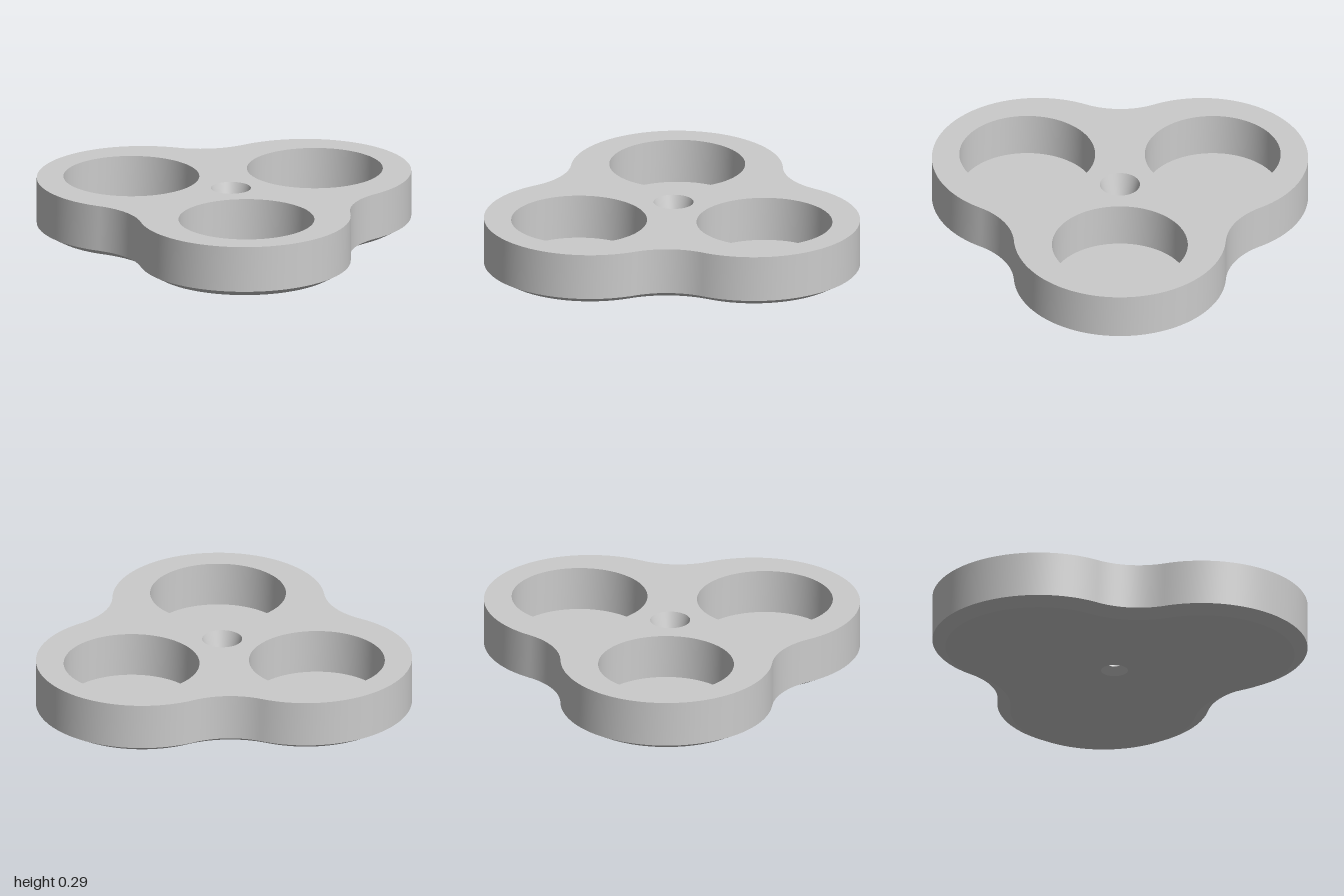
import * as THREE from 'three';

const TOP = 0.29, CHAMFER_Y = 0.04, CHAMFER_IN = 0.07, FLOOR = 0.05;
const CX = 0.04, CZ = -0.09;                    // centre of the three-lobed plate
const LOBE_DIST = 0.506, LOBE_R = 0.567;
const FILLET_DIST = 1.115, FILLET_R = 0.4;
const POCKET_DIST = 0.572, POCKET_R = 0.363;
const LOBE_ANGLES = [80, 200, 320].map(THREE.MathUtils.degToRad);

const polar = (r, a, x = CX, z = CZ) => new THREE.Vector2(x + r * Math.cos(a), z + r * Math.sin(a));

function circle(c, r, n = 96) {
  return Array.from({ length: n }, (_, i) => polar(r, (i / n) * Math.PI * 2, c.x, c.y));
}

// Three round lobes joined by tangent concave fillets, optionally inset
function outline(inset) {
  const beta = Math.atan2(FILLET_DIST * Math.sin(Math.PI / 3), FILLET_DIST * 0.5 - LOBE_DIST);
  const gamma = beta - Math.PI / 3;
  const pts = [];
  const arc = (c, r, from, to, n) => {
    for (let i = 0; i < n; i++) pts.push(polar(r, from + (to - from) * i / n, c.x, c.y));
  };
  for (const a of LOBE_ANGLES) {
    arc(polar(LOBE_DIST, a), LOBE_R - inset, a - beta, a + beta, 64);
    const mid = a + Math.PI / 3 + Math.PI;
    arc(polar(FILLET_DIST, a + Math.PI / 3), FILLET_R + inset, mid + gamma, mid - gamma, 24);
  }
  return pts;
}

// Smooth closed strip between two rings; faces outward when the first ring is the lower one
function band(ringA, yA, ringB, yB) {
  const n = ringA.length, pos = [], idx = [];
  ringA.forEach(p => pos.push(p.x, yA, p.y));
  ringB.forEach(p => pos.push(p.x, yB, p.y));
  for (let i = 0; i < n; i++) {
    const j = (i + 1) % n;
    idx.push(i, n + i, j, j, n + i, n + j);
  }
  const g = new THREE.BufferGeometry();
  g.setAttribute('position', new THREE.Float32BufferAttribute(pos, 3));
  g.setIndex(idx);
  g.computeVertexNormals();
  return g;
}

// Flat face with holes at height y, facing up or down
function cap(ring, holes, y, up) {
  const s = up ? -1 : 1;
  const flip = r => r.map(p => new THREE.Vector2(p.x, s * p.y));
  const shape = new THREE.Shape(flip(ring));
  holes.forEach(h => shape.holes.push(new THREE.Path(flip(h))));
  return new THREE.ShapeGeometry(shape).rotateX(s * Math.PI / 2).translate(0, y, 0);
}

export function createModel() {
  const model = new THREE.Group();
  model.name = 'threeLobedTray';
  const material = new THREE.MeshStandardMaterial({ color: 0xcccccc });
  const add = (name, geometry) => {
    const mesh = new THREE.Mesh(geometry, material);
    mesh.name = name;
    model.add(mesh);
  };

  const outer = outline(0), base = outline(CHAMFER_IN);
  const pockets = LOBE_ANGLES.map(a => circle(polar(POCKET_DIST, a), POCKET_R));
  const centre = new THREE.Vector2(CX, CZ);
  const rim = circle(centre, 0.107), neck = circle(centre, 0.036), flare = circle(centre, 0.072);

  // Plate shell
  add('topFace', cap(outer, [...pockets, rim], TOP, true));
  add('sideWall', band(outer, CHAMFER_Y, outer, TOP));
  add('bottomChamfer', band(base, 0, outer, CHAMFER_Y));
  add('bottomFace', cap(base, [flare], 0, false));

  // Round pockets
  pockets.forEach((p, i) => {
    add(`pocketWall${i + 1}`, band(p, TOP, p, FLOOR));
    add(`pocketFloor${i + 1}`, cap(p, [], FLOOR, true));
  });

  // Tapered screw hole, flared underneath
  add('holeFunnel', band(rim, TOP, neck, CHAMFER_Y));
  add('holeFlare', band(neck, CHAMFER_Y, flare, 0));

  return model;
}
